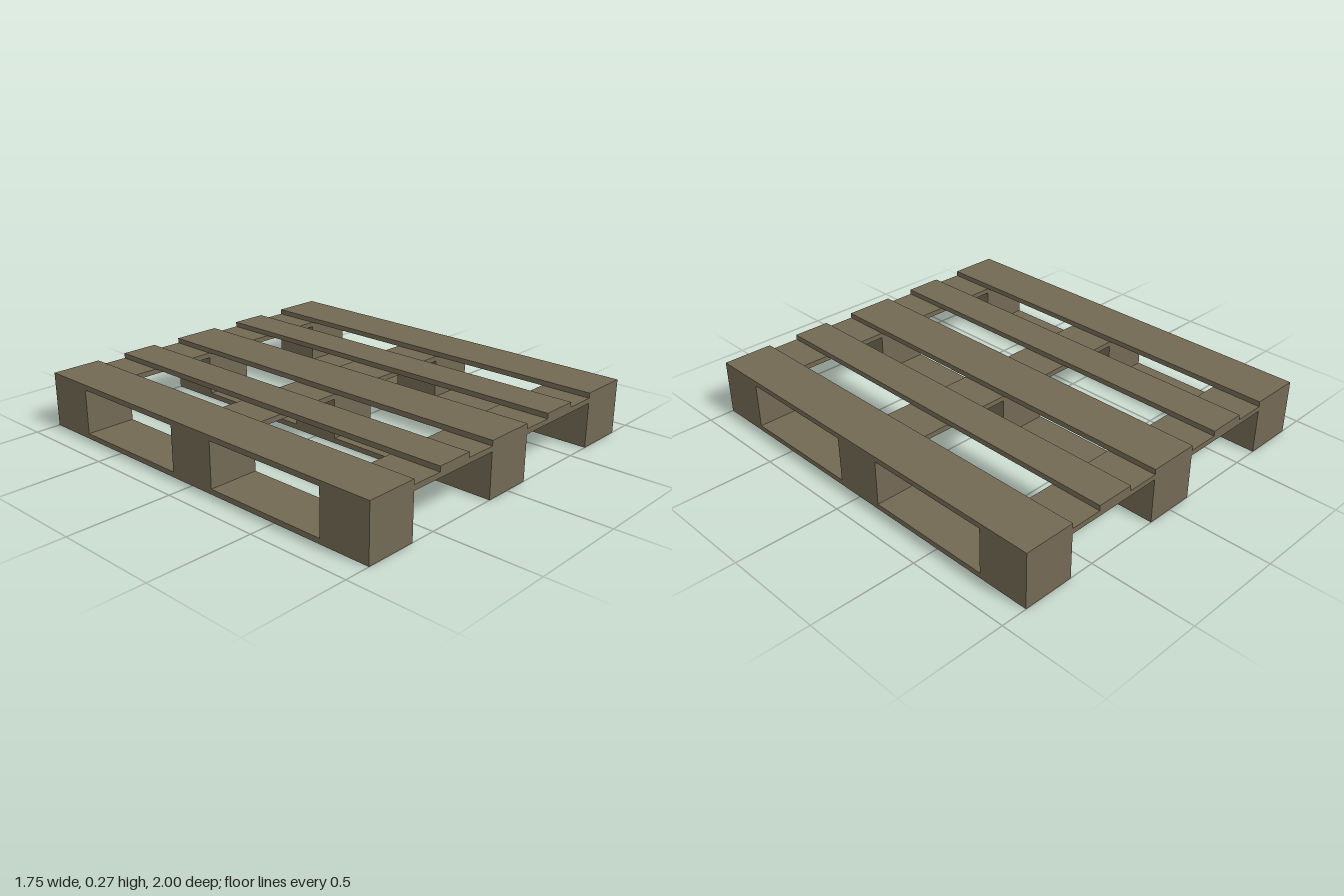
import * as THREE from 'three';

export function createModel() {
  const pallet = new THREE.Group();
  pallet.name = 'pallet';
  const wood = new THREE.MeshStandardMaterial({ color: 0x736954 });
  wood.name = 'weathered wood';

  // Box given by its centre in x and z, and its bottom and top heights
  function plank(name, x, z, width, depth, bottom, top) {
    const mesh = new THREE.Mesh(new THREE.BoxGeometry(width, top - bottom, depth), wood);
    mesh.name = name;
    mesh.position.set(x, (bottom + top) / 2, z);
    pallet.add(mesh);
  }

  const rows = [-0.75, 0, 0.75];
  const ends = [-0.875, 0, 0.875];

  // Bottom runners, each carrying three blocks
  for (const x of rows) {
    plank('bottomRunner', x, 0, 0.25, 2, 0, 0.025);
    for (const z of ends) plank('block', x, z * 1, 0.25, 0.25, 0.025, 0.218);
  }

  // Cross boards lying over the blocks
  for (const z of ends) plank('crossBoard', 0, z, 1.75, 0.25, 0.218, 0.243);

  // Deck boards: three wide, two narrow
  for (const x of rows) plank('wideDeckBoard', x, 0, 0.25, 2, 0.243, 0.268);
  for (const x of [-0.375, 0.375]) plank('narrowDeckBoard', x, 0, 0.187, 2, 0.243, 0.268);

  // Centre the outer rows on the overall width
  return pallet;
}
